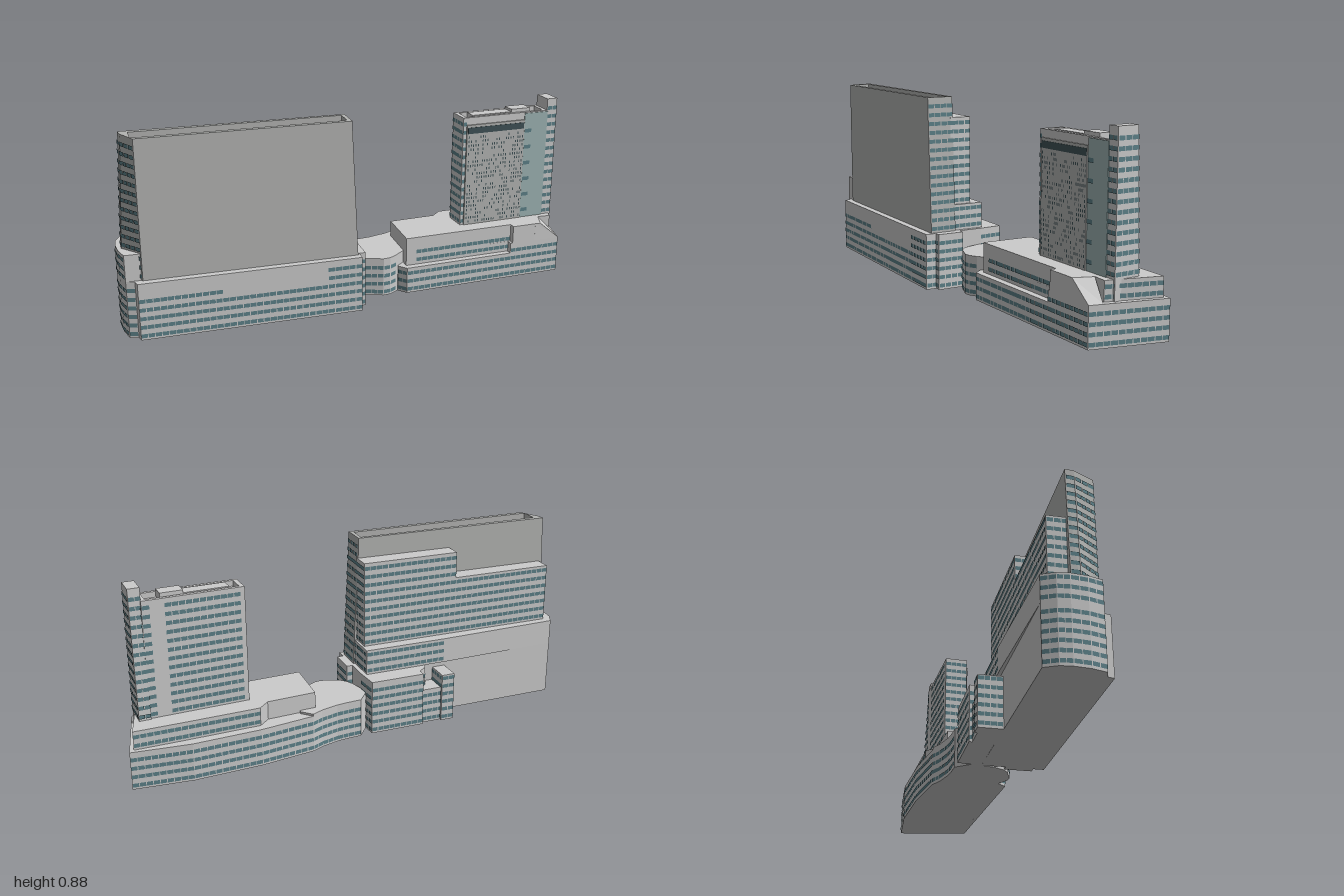
import * as THREE from 'three';
import { mergeGeometries } from 'three/addons/utils/BufferGeometryUtils.js';

const mat = (color) => new THREE.MeshStandardMaterial({ color, flatShading: true });
const WALL = mat(0xcccccc), PLAIN = mat(0xb4b5b3), GLASS = mat(0x5c8088);
const PALE = mat(0x9db4b3), DARK = mat(0x3f5256);

// Plans are [x, z] points listed south-west, south-east, north-east, north-west.
const rect = (x0, x1, z0, z1) => [[x0, z1], [x1, z1], [x1, z0], [x0, z0]];
const outline = (pts) => pts.map(([x, z]) => new THREE.Vector2(x, -z));

function add(parent, name, geometry, material) {
  const mesh = new THREE.Mesh(geometry, material);
  mesh.name = name;
  parent.add(mesh);
  return mesh;
}

// Upright block; an optional top plan makes it taper, an optional hole makes it a parapet
function block(parent, name, pts, y0, y1, material = WALL, { top, hole } = {}) {
  const shape = new THREE.Shape(outline(pts));
  if (hole) shape.holes.push(new THREE.Path(outline(hole)));
  const g = new THREE.ExtrudeGeometry(shape, { depth: y1 - y0, bevelEnabled: false });
  g.rotateX(-Math.PI / 2).translate(0, y0, 0);
  if (top) {
    const p = g.attributes.position;
    for (let i = 0; i < p.count; i++) {
      if (p.getY(i) < (y0 + y1) / 2) continue;
      const k = pts.findIndex(([x, z]) => Math.hypot(x - p.getX(i), z - p.getZ(i)) < 1e-4);
      p.setXYZ(i, top[k][0], y1, top[k][1]);
    }
    g.computeVertexNormals();
  }
  return add(parent, name, g, material);
}

// Rows of panes along an open run of walls, leaning with the wall when a top run is given
function glaze(parent, name, pts, y0, y1, { top = pts, step = 0.04, h = 0.018, pane = 0.03, material = GLASS } = {}) {
  const panes = [];
  for (let y = y0 + step / 2; y < y1 - h / 2; y += step) {
    const t = (y - y0) / (y1 - y0);
    const run = pts.map((p, i) => [0, 1].map((k) => p[k] + (top[i][k] - p[k]) * t));
    for (let i = 0; i + 1 < run.length; i++) {
      const [a, b] = [run[i], run[i + 1]];
      const dx = b[0] - a[0], dz = b[1] - a[1], len = Math.hypot(dx, dz);
      const n = Math.max(1, Math.round(len / pane)), w = len / n;
      for (let j = 0; j < n; j++) {
        const s = (j + 0.5) / n;
        const g = new THREE.PlaneGeometry(w * 0.9, h).rotateY(Math.atan2(-dz, dx));
        g.translate(a[0] + dx * s - (dz / len) * 0.003, y, a[1] + dz * s + (dx / len) * 0.003);
        panes.push(g);
      }
    }
  }
  add(parent, name, mergeGeometries(panes), material);
}

function longBuilding() {
  const g = new THREE.Group();
  g.name = 'longBuilding';
  g.rotation.y = 0.34;

  // Podium with a rounded west end
  const westEnd = [[-1.052, -0.026], [-1.08, 0.03], [-1.086, 0.08], [-1.08, 0.15], [-1.062, 0.214], [-1.025, 0.225]];
  block(g, 'podium', [...westEnd, [-1.018, 0.254], [-0.03, 0.254], [-0.03, -0.03]], 0, 0.26);
  glaze(g, 'podiumWestWindows', westEnd, 0, 0.26);
  glaze(g, 'podiumSouthWindows', [[-1.018, 0.254], [-0.19, 0.254]], 0, 0.16);
  glaze(g, 'podiumUpperWindows', [[-1.018, 0.254], [-0.66, 0.254]], 0.16, 0.2);
  glaze(g, 'podiumCornerWindows', [[-0.19, 0.254], [-0.03, 0.254], [-0.03, 0.2]], 0, 0.26);
  block(g, 'eastBay', rect(-0.06, 0, 0.08, 0.205), 0, 0.26);
  glaze(g, 'eastBayWindows', [[-0.03, 0.205], [0, 0.205], [0, 0.08], [-0.03, 0.08]], 0, 0.26);

  // North wing with a curved notch between two blocks
  const wing = [[-0.03, -0.03], [-0.039, -0.139], [-0.3, -0.139], [-0.3, -0.1], [-0.34, -0.07], [-0.36, -0.03]];
  block(g, 'northWing', wing, 0, 0.26);
  glaze(g, 'northWingWindows', wing, 0, 0.26);
  block(g, 'notchBase', rect(-0.42, -0.29, -0.125, -0.02), 0, 0.17);
  glaze(g, 'notchWindows', [[-0.3, -0.125], [-0.41, -0.125]], 0, 0.17);
  block(g, 'northEndBlock', rect(-0.463, -0.4, -0.137, -0.02), 0, 0.235);
  glaze(g, 'northEndWindows', [[-0.4, -0.03], [-0.4, -0.137], [-0.463, -0.137], [-0.463, -0.03]], 0, 0.235);

  // Stepped tiers behind the slab
  block(g, 'lowTier', [...westEnd.slice(0, 5), [-1, 0.215], [-0.05, 0.1], [-0.05, -0.045], [-0.45, -0.045]], 0.26, 0.38);
  glaze(g, 'lowTierWindows', [[-0.05, 0.1], [-0.05, -0.045], [-0.45, -0.045]], 0.26, 0.38);
  glaze(g, 'lowTierWestWindows', westEnd.slice(0, 5), 0.26, 0.38);
  block(g, 'eastTier', rect(-0.53, -0.06, 0.01, 0.11), 0.38, 0.785);
  glaze(g, 'eastTierWindows', [[-0.06, 0.1], [-0.06, 0.01], [-0.53, 0.01], [-0.53, 0.1]], 0.38, 0.785);
  block(g, 'westTier', rect(-1.03, -0.53, 0.01, 0.11), 0.38, 0.66);
  glaze(g, 'westTierWindows', [[-0.53, 0.01], [-1.03, 0.01], [-1.03, 0.1]], 0.38, 0.66);

  // Tall slab, leaning at both ends, with a sunken roof
  const foot = [[-0.991, 0.222], [-0.04, 0.222], [-0.04, 0.098], [-1.07, 0.09], [-1.07, 0.13]];
  const head = [[-0.991, 0.222], [-0.067, 0.222], [-0.067, 0.098], [-1.04, 0.09], [-1.035, 0.13]];
  block(g, 'slab', foot, 0.26, 0.845, PLAIN, { top: head });
  block(g, 'slabParapet', head, 0.845, 0.88, PLAIN, { hole: rect(-1.0, -0.085, 0.115, 0.2) });
  glaze(g, 'slabEastWindows', [foot[1], foot[2]], 0.26, 0.88, { top: [head[1], head[2]] });
  glaze(g, 'slabWestWindows', [foot[3], foot[4], foot[0]], 0.26, 0.88, { top: [head[3], head[4], head[0]] });
  return g;
}

function link() {
  const g = new THREE.Group();
  g.name = 'link';
  const south = [[0.0, 0.04], [0.03, 0.07], [0.065, 0.085], [0.15, 0.085], [0.18, 0.07], [0.205, 0.04]];
  const north = [[0.19, -0.28], [0.15, -0.24], [0.08, -0.19], [0.03, -0.165], [-0.03, -0.14]];
  block(g, 'linkHall', [...south, [0.24, -0.02], [0.25, -0.25], ...north, [-0.06, -0.05]], 0, 0.185);
  glaze(g, 'linkSouthWindows', south, 0, 0.185);
  glaze(g, 'linkNorthWindows', north, 0, 0.185);
  return g;
}

function towerPodium() {
  const g = new THREE.Group();
  g.name = 'towerPodium';

  // South terrace
  const terrace = [[0.2, -0.1], [0.217, 0.027], [0.26, 0.053], [0.76, -0.152]];
  block(g, 'terrace', [...terrace, [0.7, -0.3]], 0, 0.125);
  glaze(g, 'terraceWindows', terrace.slice(1), 0, 0.125);

  // Lower storeys, bent along the north side
  const lower = [[0.76, -0.152], [1, -0.25], [0.955, -0.588], [0.7, -0.52], [0.414, -0.4], [0.19, -0.28]];
  block(g, 'lowerStoreys', [[0.3, 0], [0.75, -0.18], ...lower, [0.2, -0.1]], 0, 0.175);
  glaze(g, 'lowerWindows', lower, 0, 0.175);

  // Upper storeys, set back
  const south = [[0.18, -0.21], [0.255, 0.02], [0.76, -0.185]];
  const north = [[0.965, -0.32], [0.94, -0.565], [0.72, -0.48], [0.42, -0.36]];
  block(g, 'upperStoreys', [...south, [0.77, -0.156], [0.88, -0.201], [0.9, -0.3], ...north, [0.39, -0.3]], 0.12, 0.26);
  glaze(g, 'upperSouthWindows', [[0.3, 0.002], [0.76, -0.185]], 0.13, 0.21);
  glaze(g, 'upperNorthWindows', north, 0.175, 0.26);
  block(g, 'slopedCorner', [[0.88, -0.2], [1, -0.25], [0.99, -0.31], [0.88, -0.3]], 0.175, 0.26, WALL,
    { top: [[0.88, -0.2], [0.905, -0.21], [0.905, -0.3], [0.88, -0.3]] });
  return g;
}

function tower() {
  const g = new THREE.Group();
  g.name = 'tower';
  g.rotation.y = 0.39;

  block(g, 'towerShaft', rect(0.54, 0.985, -0.075, 0.036), 0.26, 0.765);
  block(g, 'towerParapet', rect(0.54, 0.985, -0.075, 0.036), 0.765, 0.79, WALL, { hole: rect(0.56, 0.965, -0.058, 0.02) });
  glaze(g, 'towerWestWindows', [[0.54, -0.075], [0.54, 0.036], [0.556, 0.036]], 0.26, 0.785);
  glaze(g, 'towerNorthWindows', [[0.89, -0.075], [0.56, -0.075]], 0.26, 0.785);
  glaze(g, 'towerEastWindows', [[0.985, -0.062], [0.985, -0.075], [0.95, -0.075]], 0.26, 0.785);

  // Punched south screen with a dark band above it
  block(g, 'southScreen', rect(0.557, 0.86, 0.03, 0.043), 0.26, 0.755, PLAIN);
  add(g, 'darkBand', new THREE.BoxGeometry(0.295, 0.03, 0.004), DARK).position.set(0.709, 0.728, 0.043);
  const slots = [];
  let seed = 7;
  const random = () => (seed = (seed * 16807) % 2147483647) / 2147483647;
  for (let row = 0; row < 22; row++) {
    for (let col = 0; col < 24; col++) {
      if (random() < 0.5) continue;
      slots.push(new THREE.PlaneGeometry(0.005, 0.012).translate(0.568 + col * 0.0123, 0.275 + row * 0.02, 0.0445));
    }
  }
  add(g, 'screenSlots', mergeGeometries(slots), DARK);

  // Glazed south-east corner
  block(g, 'glassCorner', rect(0.862, 0.984, 0.03, 0.04), 0.26, 0.785, PALE);
  glaze(g, 'cornerWindows', [[0.862, 0.04], [0.9, 0.04]], 0.26, 0.785, { step: 0.08 });

  // Roof plant
  block(g, 'roofPlant', rect(0.8, 0.9, -0.05, 0.015), 0.76, 0.805);
  block(g, 'roofDeck', rect(0.6, 0.8, -0.05, 0.01), 0.76, 0.792);

  // Stair shaft rising above the roof
  const foot = rect(0.982, 1.034, -0.085, 0.036), head = rect(0.982, 1.034, -0.062, 0.036);
  block(g, 'stairShaft', foot, 0.175, 0.845, WALL, { top: head });
  glaze(g, 'stairShaftWindows', foot, 0.26, 0.845, { top: head });
  return g;
}

export function createModel() {
  const model = new THREE.Group();
  model.name = 'buildingComplex';
  model.add(longBuilding(), link(), towerPodium(), tower());
  return model;
}
